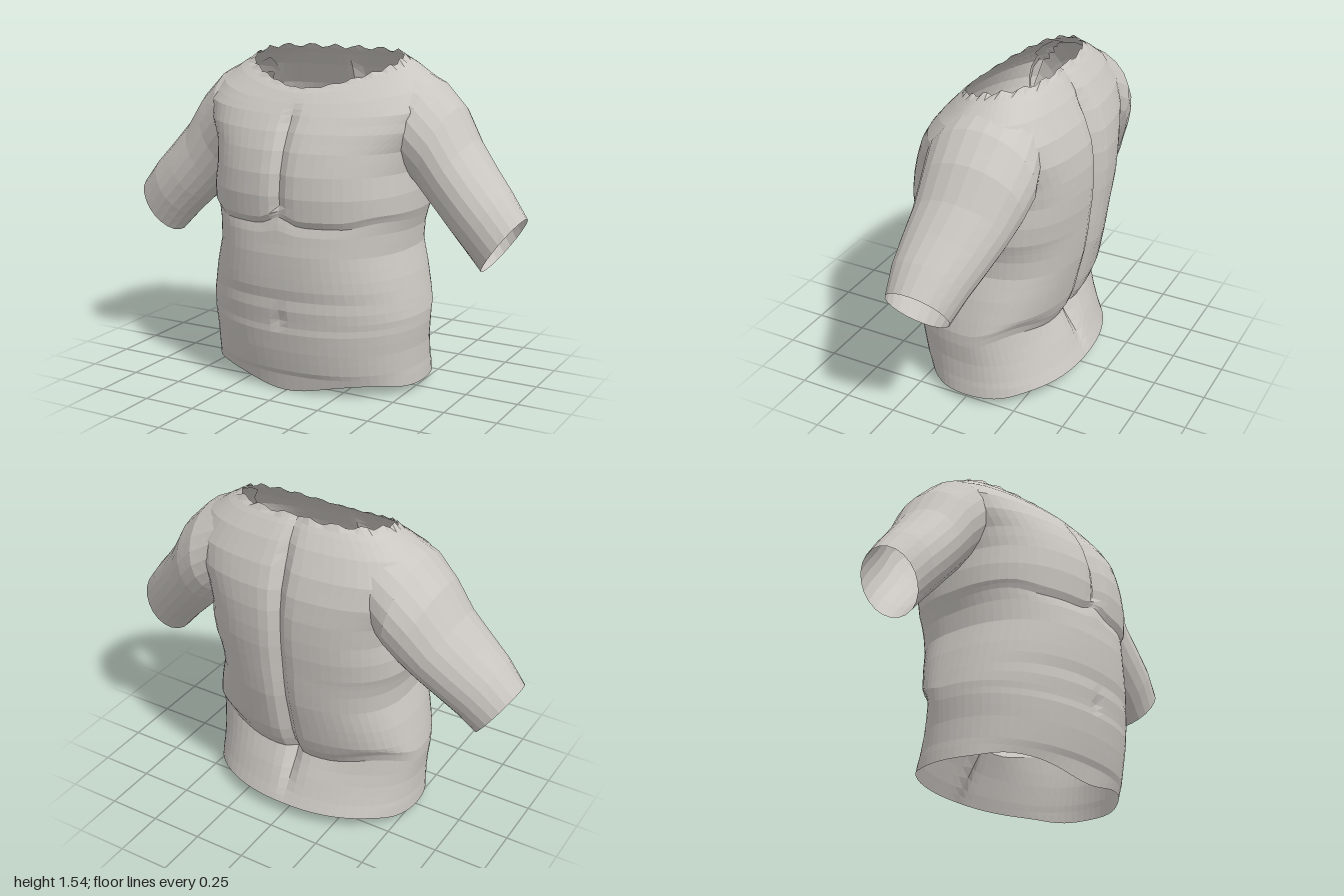
import * as THREE from 'three';

// Torso cross-sections: [y at front, y at back, half width, z front, z back]
const ROWS = [
  [0.05, 0.06, 0.535, 0.348, -0.40],
  [0.10, 0.12, 0.53, 0.375, -0.372],
  [0.20, 0.21, 0.53, 0.398, -0.335],
  [0.29, 0.31, 0.54, 0.41, -0.288],
  [0.35, 0.37, 0.54, 0.415, -0.32],
  [0.45, 0.44, 0.525, 0.42, -0.345],
  [0.55, 0.55, 0.50, 0.43, -0.37],
  [0.66, 0.66, 0.468, 0.43, -0.395],
  [0.75, 0.75, 0.472, 0.42, -0.407],
  [0.79, 0.80, 0.485, 0.406, -0.412],
  [0.82, 0.85, 0.50, 0.422, -0.416],
  [0.92, 0.94, 0.50, 0.43, -0.425],
  [1.02, 1.03, 0.488, 0.42, -0.428],
  [1.12, 1.13, 0.505, 0.39, -0.425],
  [1.20, 1.23, 0.555, 0.35, -0.41],
  [1.27, 1.33, 0.575, 0.30, -0.375],
  [1.32, 1.43, 0.52, 0.26, -0.32],
  [1.36, 1.49, 0.44, 0.225, -0.275],
  [1.38, 1.53, 0.37, 0.20, -0.24],
];

// Arm cross-sections: [top x, top y, bottom x, bottom y, z front, z back]
const ARM = [
  [0.40, 1.485, 0.40, 1.03, 0.14, -0.33],
  [0.54, 1.415, 0.45, 0.98, 0.17, -0.355],
  [0.65, 1.305, 0.50, 0.92, 0.155, -0.335],
  [0.735, 1.165, 0.57, 0.85, 0.152, -0.295],
  [0.83, 1.05, 0.66, 0.76, 0.158, -0.245],
  [0.915, 0.955, 0.74, 0.68, 0.157, -0.20],
  [1.0, 0.845, 0.82, 0.59, 0.14, -0.155],
];

const SEGMENTS = 72;
const ARM_SEGMENTS = 22;
const Z_MID = -0.02;
const bump = (v, mid, size) => Math.exp(-(((v - mid) / size) ** 2));
const ramp = (v, a, b) => THREE.MathUtils.smoothstep(v, a, b);

// Value between table rows, f counted in rows
function sample(table, f) {
  const i = Math.min(Math.floor(f), table.length - 2);
  return table[i].map((v, k) => THREE.MathUtils.lerp(v, table[i + 1][k], f - i));
}

// Rounded belly, square-shouldered back, pointed front at the neck
const exponent = (f, z) => 2.2 + (z > Z_MID
  ? 0.25 * ramp(f, 3, 9) - 0.25 * ramp(f, 12, 15) - 0.65 * ramp(f, 15, 18)
  : 0.3 * ramp(f, 2, 6) + 0.4 * ramp(f, 9, 13));

// Height of a torso row at depth z
function rowHeight([yf, yb, , zf, zb], z) {
  const t = THREE.MathUtils.clamp((z - zb) / (zf - zb), 0, 1);
  return yb + (yf - yb) * t ** 2.1;
}

function torsoPoint(i, f) {
  const row = sample(ROWS, f);
  const [, , w, zf, zb] = row;
  const a = (i / SEGMENTS) * Math.PI * 2;
  const c = Math.cos(a);
  const s = Math.sin(a);
  const n = exponent(f, c > 0 ? 1 : -1);
  const r = (Math.abs(s) ** n + Math.abs(c) ** n) ** (-1 / n);
  const x = w * s * r;
  let z = Z_MID + (c > 0 ? zf - Z_MID : Z_MID - zb) * c * r;
  let y = rowHeight(row, z);
  if (c > 0) {
    // Groove between the chest muscles, soft belly folds and navel
    z -= 0.03 * bump(x, 0, 0.035) * ramp(y, 0.78, 0.86) * (1 - ramp(y, 1.22, 1.34));
    z += 0.003 * c * Math.sin(y * 52) * ramp(y, 0.15, 0.3) * (1 - ramp(y, 0.62, 0.72));
    z -= 0.012 * bump(x, 0, 0.025) * bump(y, 0.36, 0.04);
    // Chest crease rises at the middle and the outside
    y += 0.04 * c * bump(y, 0.8, 0.06) * (bump(x, 0, 0.06) + ramp(Math.abs(x), 0.3, 0.45));
  } else {
    // Spine groove and the fold above the hips
    z += 0.045 * bump(x, 0, 0.035) * ramp(y, 0.05, 0.3) * (1 - 0.6 * ramp(y, 1.3, 1.5));
    y += 0.06 * bump(y, 0.34, 0.07) * ramp(Math.abs(x), 0.15, 0.45) * ramp(-c, 0, 0.7);
  }
  // Hem dips at the front, neck edge is ragged
  if (f === 0) {
    y -= (c > 0 ? 0.055 * bump(x, 0, 0.22) : 0) + 0.025 * bump(Math.abs(x), 0.53, 0.08);
  }
  if (f === ROWS.length - 1) y += 0.01 * Math.sin(i * 1.7) * (1 - 0.6 * Math.max(c, 0));
  return new THREE.Vector3(x, y, z);
}

function armPoint(i, f, side) {
  const [tx, ty, bx, by, zf, zb] = sample(ARM, f);
  const a = side * (i / ARM_SEGMENTS) * Math.PI * 2;
  const s = Math.sin(a) / 2;
  return new THREE.Vector3(
    side * ((tx + bx) / 2 + (bx - tx) * s),
    (ty + by) / 2 + (by - ty) * s,
    (zf + zb) / 2 + ((zf - zb) / 2) * Math.cos(a)
  );
}

function insideTorso(p) {
  for (let f = 0; f < ROWS.length - 1; f += 0.25) {
    const row = sample(ROWS, f);
    if (rowHeight(row, p.z) > p.y || rowHeight(sample(ROWS, f + 0.25), p.z) <= p.y) continue;
    const n = exponent(f, p.z);
    const depth = p.z > Z_MID ? row[3] - Z_MID : Z_MID - row[4];
    return Math.abs(p.x / row[2]) ** n + Math.abs((p.z - Z_MID) / depth) ** n < 0.97;
  }
  return false;
}

function insideArm(p) {
  const px = Math.abs(p.x);
  for (let f = 0; f <= ARM.length - 1; f += 0.1) {
    const [tx, ty, bx, by, zf, zb] = sample(ARM, f);
    const len = Math.hypot(tx - bx, ty - by);
    const ux = (tx - bx) / len, uy = (ty - by) / len;
    const dx = px - (tx + bx) / 2, dy = p.y - (ty + by) / 2;
    if (Math.abs(dx * uy - dy * ux) > 0.02) continue;
    const u = (dx * ux + dy * uy) / (len / 2);
    const v = (p.z - (zf + zb) / 2) / ((zf - zb) / 2);
    if (u * u + v * v < 0.95) return true;
  }
  return false;
}

// Open skin through rings of points, leaving out faces hidden in another part
function skin(point, segments, rings, step, hidden) {
  const positions = [];
  const grid = [];
  for (let j = 0; j <= rings; j++) {
    const ring = [];
    for (let i = 0; i < segments; i++) {
      const p = point(i, j * step);
      ring.push({ p, hidden: hidden(p) });
    }
    grid.push(ring);
  }
  const face = (...corners) => {
    if (corners.every((v) => v.hidden)) return;
    corners.forEach((v) => positions.push(v.p.x, v.p.y, v.p.z));
  };
  for (let j = 0; j < rings; j++) {
    for (let i = 0; i < segments; i++) {
      const k = (i + 1) % segments;
      const a = grid[j][i], b = grid[j][k], c = grid[j + 1][k], d = grid[j + 1][i];
      face(a, b, c);
      face(a, c, d);
    }
  }
  const geometry = new THREE.BufferGeometry();
  geometry.setAttribute('position', new THREE.Float32BufferAttribute(positions, 3));
  geometry.computeVertexNormals();
  return geometry;
}

export function createModel() {
  const group = new THREE.Group();
  group.name = 'upperBody';
  const material = new THREE.MeshStandardMaterial({
    color: 0xcac6c1, flatShading: true, side: THREE.DoubleSide,
  });
  material.name = 'paleGrey';

  const add = (name, geometry) => {
    const mesh = new THREE.Mesh(geometry, material);
    mesh.name = name;
    group.add(mesh);
  };

  // Chest, belly and back
  add('torso', skin(torsoPoint, SEGMENTS, (ROWS.length - 1) * 2, 0.5, insideArm));

  // Shoulders and upper arms, open at the elbow
  for (const side of [1, -1]) {
    add(side > 0 ? 'leftArm' : 'rightArm',
      skin((i, f) => armPoint(i, f, side), ARM_SEGMENTS, (ARM.length - 1) * 2, 0.5, insideTorso));
  }
  return group;
}
